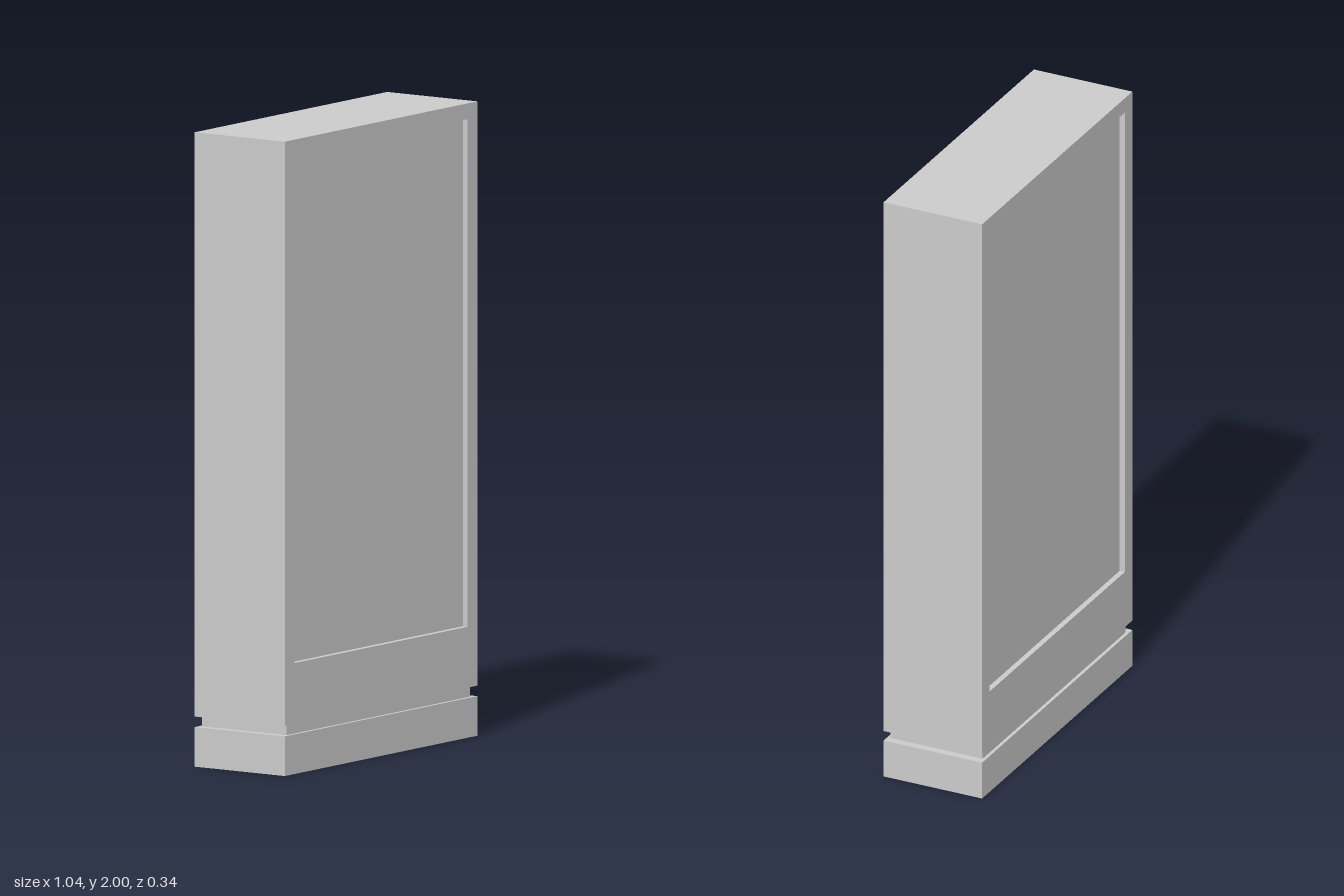
import * as THREE from 'three';

const W = 1.04, D = 0.344;          // overall width and depth
const BODY_BOTTOM = 0.158, TOP = 2; // cabinet height range
const BASE_TOP = 0.125;
const RECESS = 0.018;               // how deep the screens sit in the frame

export function createModel() {
  const group = new THREE.Group();
  const material = new THREE.MeshStandardMaterial({ color: 0xcccccc, flatShading: true });

  const add = (name, geometry) => {
    const mesh = new THREE.Mesh(geometry, material);
    mesh.name = name;
    group.add(mesh);
    return mesh;
  };
  // Box spanning y0..y1, centred on x and z
  const box = (name, w, y0, y1, d) => {
    const mesh = add(name, new THREE.BoxGeometry(w, y1 - y0, d));
    mesh.position.y = (y0 + y1) / 2;
    return mesh;
  };
  const trace = (path, hw, y0, y1) => {
    path.moveTo(-hw, y0);
    path.lineTo(hw, y0);
    path.lineTo(hw, y1);
    path.lineTo(-hw, y1);
    path.closePath();
    return path;
  };

  // Plinth and the narrower neck forming the shadow gap
  box('base', W, 0, BASE_TOP, D);
  box('neck', 0.99, BASE_TOP, BODY_BOTTOM, 0.322);

  // Cabinet frame with a rectangular opening through both faces
  const outline = trace(new THREE.Shape(), W / 2, BODY_BOTTOM, TOP);
  outline.holes.push(trace(new THREE.Path(), 0.468, 0.35, 1.95));
  const frame = new THREE.ExtrudeGeometry(outline, { depth: D, bevelEnabled: false });
  frame.translate(0, 0, -D / 2);
  add('cabinetFrame', frame);

  // Display panels recessed into the front and back
  for (const [name, side] of [['frontScreen', 1], ['backScreen', -1]]) {
    const thickness = 0.03;
    box(name, 0.936, 0.35, 1.95, thickness).position.z = side * (D / 2 - RECESS - thickness / 2);
  }

  return group;
}
